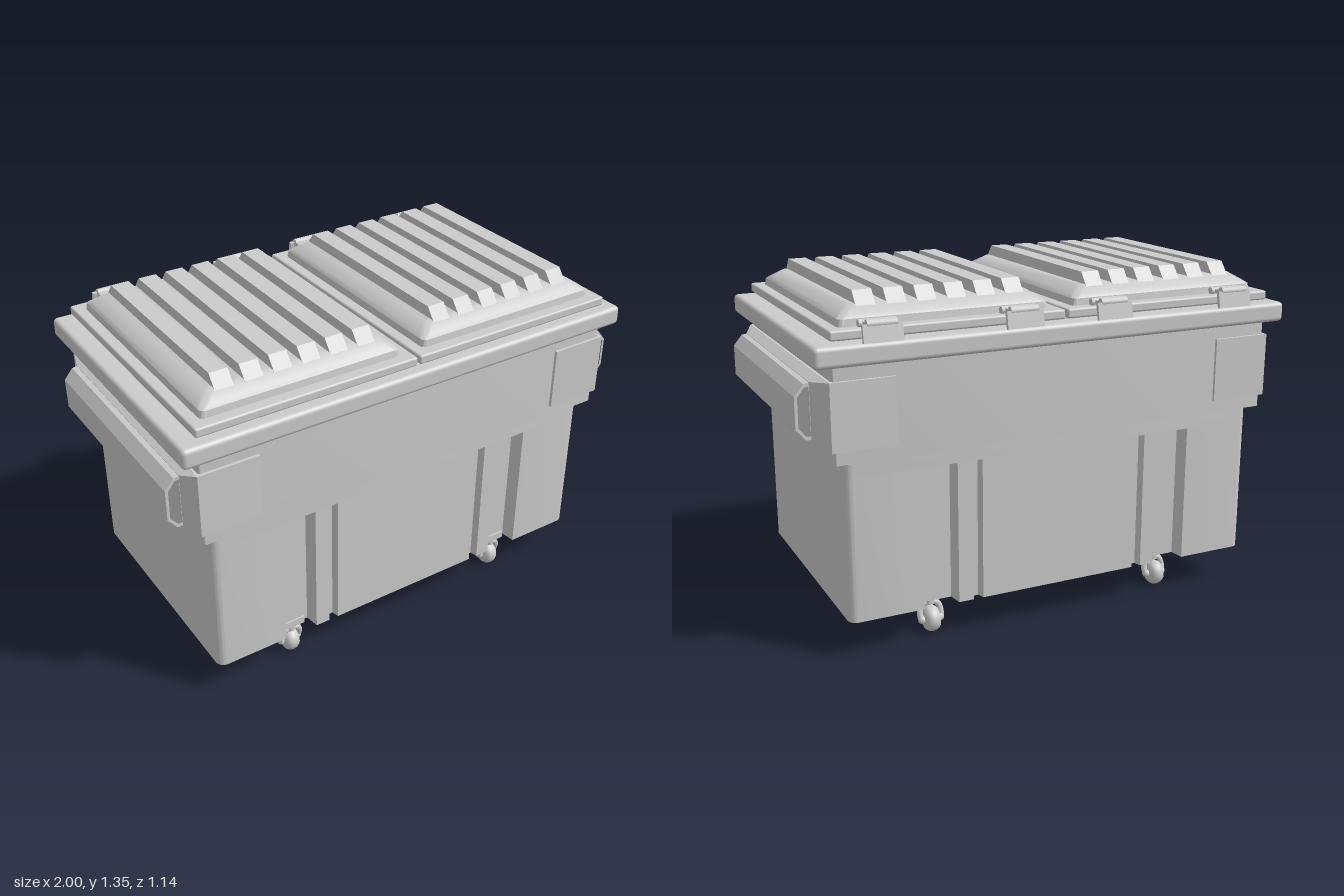
import * as THREE from 'three';
import { toCreasedNormals } from 'three/addons/utils/BufferGeometryUtils.js';
import { RoundedBoxGeometry } from 'three/addons/geometries/RoundedBoxGeometry.js';

const mat = new THREE.MeshStandardMaterial({ color: 0xcccccc });

function add(parent, name, geo, x = 0, y = 0, z = 0) {
  const m = new THREE.Mesh(geo, mat);
  m.name = name;
  m.position.set(x, y, z);
  parent.add(m);
  return m;
}

function group(parent, name, x = 0, y = 0, z = 0) {
  const g = new THREE.Group();
  g.name = name;
  g.position.set(x, y, z);
  parent.add(g);
  return g;
}

// Moves every vertex of a geometry by a rule
function reshape(geo, rule) {
  const p = geo.attributes.position, v = new THREE.Vector3();
  for (let i = 0; i < p.count; i++) {
    rule(v.fromBufferAttribute(p, i));
    p.setXYZ(i, v.x, v.y, v.z);
  }
  return toCreasedNormals(geo, 0.5);
}

// Extrudes a plan outline (x, -z) upwards
function slab(shape, height) {
  const g = new THREE.ExtrudeGeometry(shape, { depth: height, bevelEnabled: false, curveSegments: 6 });
  return toCreasedNormals(g.rotateX(-Math.PI / 2), 0.6);
}

// Outline of the tub: rounded corners, optional caster recesses and grooves front and back
function tubShape(hx, hz, r, notches = []) {
  const s = new THREE.Shape();
  const side = (sign) => {
    for (const [a, b, depth] of notches) {
      const z = sign * hz, e = 0.008;
      s.lineTo(-sign * a, z);
      s.lineTo(-sign * (a + e), z - sign * depth);
      s.lineTo(-sign * (b - e), z - sign * depth);
      s.lineTo(-sign * b, z);
    }
  };
  s.moveTo(-hx + r, -hz);
  side(-1);
  s.lineTo(hx - r, -hz);
  s.absarc(hx - r, -hz + r, r, -Math.PI / 2, 0);
  s.lineTo(hx, hz - r);
  s.absarc(hx - r, hz - r, r, 0, Math.PI / 2);
  side(1);
  s.lineTo(-hx + r, hz);
  s.absarc(-hx + r, hz - r, r, Math.PI / 2, Math.PI);
  s.lineTo(-hx, -hz + r);
  s.absarc(-hx + r, -hz + r, r, Math.PI, Math.PI * 1.5);
  return s;
}

// Stacks rounded rectangles [y, halfX, halfZ, radius] and closes the top
function loft(sections) {
  const pos = [], idx = [], k = 6, n = 4 * (k + 1);
  for (const [y, hx, hz, r] of sections)
    for (let c = 0; c < 4; c++)
      for (let i = 0; i <= k; i++) {
        const a = (c + i / k) * Math.PI / 2;
        const sx = c === 0 || c === 3 ? 1 : -1, sz = c < 2 ? 1 : -1;
        pos.push(sx * (hx - r) + r * Math.cos(a), y, sz * (hz - r) + r * Math.sin(a));
      }
  const last = sections.length - 1;
  for (let j = 0; j < last; j++)
    for (let i = 0; i < n; i++) {
      const a = j * n + i, b = j * n + (i + 1) % n;
      idx.push(a, a + n, b, b, a + n, b + n);
    }
  for (let i = 1; i < n - 1; i++) idx.push(last * n, last * n + i + 1, last * n + i);
  const g = new THREE.BufferGeometry();
  g.setAttribute('position', new THREE.Float32BufferAttribute(pos, 3));
  g.setIndex(idx);
  return toCreasedNormals(g, 0.7);
}

function addLid(root, side) {
  const lid = group(root, side > 0 ? 'leftLid' : 'rightLid', side * 0.453, 0, 0.005);
  add(lid, 'lidFlange', new RoundedBoxGeometry(0.895, 0.036, 1.07, 2, 0.008), 0, 1.218, 0);
  add(lid, 'lidDome', loft([
    [1.23, 0.405, 0.49, 0.02], [1.262, 0.4, 0.485, 0.02],
    [1.275, 0.385, 0.47, 0.03], [1.302, 0.345, 0.43, 0.03]]));
  // Raised ribs with sloping ends
  for (let i = 0; i < 6; i++) {
    const rib = reshape(new THREE.BoxGeometry(0.072, 0.075, 0.92), (v) => {
      if (v.y > 0) v.z = Math.sign(v.z) * 0.4;
    });
    add(lid, 'lidRib', rib, side * (0.168 + i * 0.114 - 0.453), 1.3075, 0);
  }
  // Hinges at the back edge
  for (const x of [0.185, 0.722]) {
    const h = group(root, 'hinge', side * x, 1.25, -0.5);
    const pin = (r, w, y, z) =>
      add(h, 'hingePin', new THREE.CylinderGeometry(r, r, w, 14).rotateZ(Math.PI / 2), 0, y, z);
    pin(0.014, 0.135, -0.002, 0.004);
    pin(0.016, 0.11, 0.003, -0.045);
    add(h, 'hingeLink', new THREE.BoxGeometry(0.11, 0.012, 0.05), 0, 0, -0.02);
    add(h, 'hingeFoot', new THREE.BoxGeometry(0.12, 0.03, 0.03), 0, -0.02, 0.008);
    add(h, 'hingeFlap', new THREE.BoxGeometry(0.145, 0.065, 0.014), 0, -0.028, -0.058).rotation.x = 0.2;
  }
}

// Fork pocket: corner plates, tapered side plate and a hollow sleeve
function addPocket(root, side) {
  const g = group(root, side > 0 ? 'leftForkPocket' : 'rightForkPocket');
  g.scale.x = side;
  add(g, 'cornerPlate', new THREE.BoxGeometry(0.24, 0.25, 1.085), 0.79, 0.935, 0.0075);
  const plate = reshape(new THREE.BoxGeometry(0.036, 0.25, 1.085), (v) => {
    if (v.x > 0) {
      v.y = Math.sign(v.y) * 0.105;
      v.z = v.z > 0 ? 0.4725 : -0.4175;
    }
  });
  add(g, 'sidePlate', plate, 0.927, 0.935, 0.0075);
  const ring = [[0.94, 0.104], [0.965, 0.1], [1, 0.058], [1, -0.062], [0.965, -0.104], [0.94, -0.104]];
  const hole = [[0.946, 0.09], [0.962, 0.088], [0.989, 0.053], [0.989, -0.057], [0.962, -0.09], [0.946, -0.09]];
  const vec = (l) => l.map(([x, y]) => new THREE.Vector2(x, y));
  const shape = new THREE.Shape(vec(ring));
  shape.holes.push(new THREE.Path(vec(hole)));
  add(g, 'sleeve', new THREE.ExtrudeGeometry(shape, { depth: 0.89, bevelEnabled: false }), 0, 0.935, -0.41);
}

function addCaster(root, x, z) {
  const g = group(root, 'caster', x, 0, z);
  // Wheel with a rounded tread
  const tread = [[0, -0.03], [0.026, -0.03], [0.041, -0.025], [0.049, -0.013], [0.051, 0],
    [0.049, 0.013], [0.041, 0.025], [0.026, 0.03], [0, 0.03]].map(([r, h]) => new THREE.Vector2(r, h));
  add(g, 'wheel', new THREE.LatheGeometry(tread, 24).rotateZ(Math.PI / 2), 0, 0.051, 0);
  add(g, 'stem', new THREE.CylinderGeometry(0.019, 0.019, 0.05, 16), 0, 0.133, 0.014);
  add(g, 'mount', new THREE.BoxGeometry(0.1, 0.03, 0.05), 0, 0.15, 0.014);
  for (const s of [-1, 1]) {
    const arm = new THREE.CatmullRomCurve3([
      new THREE.Vector3(0, 0.118, 0.014), new THREE.Vector3(s * 0.032, 0.104, 0.014),
      new THREE.Vector3(s * 0.043, 0.075, 0.008), new THREE.Vector3(s * 0.04, 0.048, 0)]);
    add(g, 'forkArm', new THREE.TubeGeometry(arm, 12, 0.012, 8));
    add(g, 'axleCap', new THREE.SphereGeometry(0.017, 12, 8), s * 0.036, 0.05, 0);
  }
}

export function createModel() {
  const root = new THREE.Group();
  root.name = 'wasteContainer';

  // Tub, with recesses above the casters
  const notches = [[-0.57, -0.43, 0.06], [-0.37, -0.33, 0.03], [0.33, 0.37, 0.03], [0.43, 0.57, 0.06]];
  // The front runs left to right and the back right to left, so one list serves both
  add(root, 'tub', slab(tubShape(0.86, 0.507, 0.035, notches), 0.555), 0, 0.145, 0.004);
  add(root, 'tubTop', slab(tubShape(0.86, 0.507, 0.035), 0.07), 0, 0.7, 0.004);
  add(root, 'upperBand', slab(tubShape(0.9, 0.531, 0.012), 0.37), 0, 0.76, 0.007);
  add(root, 'rim', new RoundedBoxGeometry(1.935, 0.078, 1.135, 4, 0.018), 0, 1.151, 0.006);
  add(root, 'lidSeat', new THREE.BoxGeometry(1.72, 0.03, 0.98), 0, 1.195, 0.005);

  for (const side of [-1, 1]) {
    addLid(root, side);
    addPocket(root, side);
    for (const z of [0.42, -0.4]) addCaster(root, side * 0.505, z);
  }
  return root;
}
